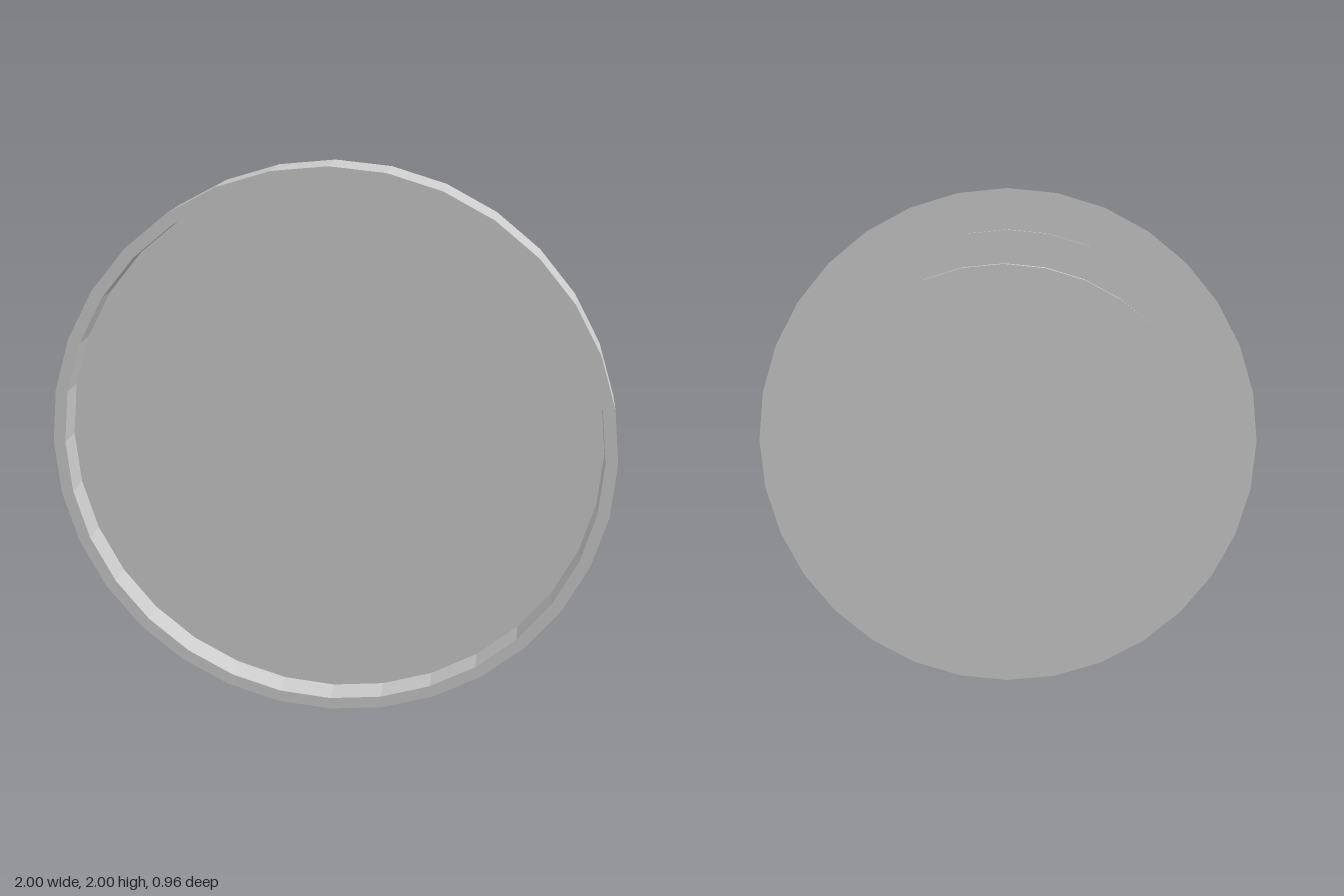
import * as THREE from 'three';

const SIDES = 32;

export function createModel() {
  const group = new THREE.Group();
  const material = new THREE.MeshStandardMaterial({ color: 0xcccccc, flatShading: true });

  // Turned part: profile of [radius, z] points running from back to front, axis along z
  function turned(name, profile) {
    const points = profile.map(([r, z]) => new THREE.Vector2(r, z));
    const geometry = new THREE.LatheGeometry(points, SIDES);
    geometry.rotateX(Math.PI / 2);
    const mesh = new THREE.Mesh(geometry, material);
    mesh.name = name;
    mesh.position.y = 1;
    group.add(mesh);
  }

  // Rear lip with a chamfer towards the barrel, closed at the back
  turned('rearLip', [[0, -0.478], [0.73, -0.478], [0.73, -0.405], [0.69, -0.343], [0.665, -0.343]]);

  // Straight middle
  turned('barrel', [[0.665, -0.343], [0.665, 0.2]]);

  // Step between barrel and front flange
  turned('step', [[0.665, 0.2], [0.84, 0.2], [0.84, 0.3]]);

  // Wide front flange with a thin raised rim around its recess
  turned('flange', [[0.84, 0.3], [1, 0.3], [1, 0.478], [0.957, 0.478], [0.957, 0.37]]);

  // Flat face at the bottom of the recess
  turned('frontFace', [[0.957, 0.37], [0, 0.37]]);

  return group;
}
